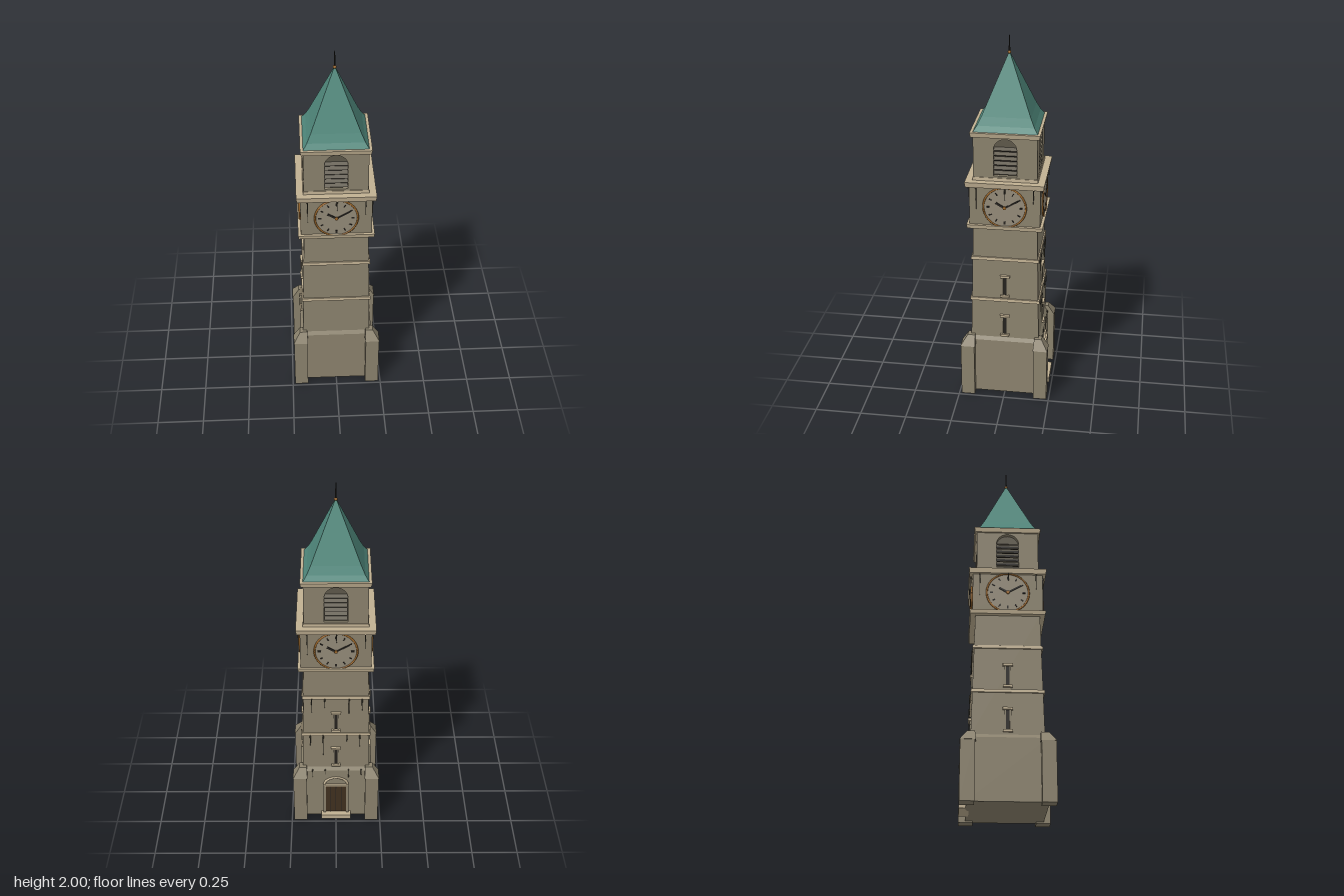
import * as THREE from 'three';

const mat = (name, color) => {
  const m = new THREE.MeshStandardMaterial({ color });
  m.name = name;
  return m;
};

export function createModel() {
  const stone = mat('stone', 0x8c836e);
  const trim = mat('pale trim', 0xc0b092);
  const copper = mat('green copper', 0x4f877b);
  const dialMat = mat('dial', 0x958c7a);
  const bronze = mat('bronze', 0xa06a2c);
  const dark = mat('dark iron', 0x26231f);
  const louvreMat = mat('louvre', 0x5f594b);
  const wood = mat('door wood', 0x40301f);
  const stain = mat('stain', 0x4a463a);

  const root = new THREE.Group();
  root.name = 'clockTower';

  const add = (parent, name, geo, material, x = 0, y = 0, z = 0) => {
    const m = new THREE.Mesh(geo, material);
    m.name = name;
    m.position.set(x, y, z);
    parent.add(m);
    return m;
  };
  const box = (parent, name, material, w, h, d, x, y, z) =>
    add(parent, name, new THREE.BoxGeometry(w, h, d), material, x, y, z);

  // Square block with half width a at height y0 and half width b at y1
  const taper = (name, material, a, b, y0, y1) => {
    const g = new THREE.BoxGeometry(2, y1 - y0, 2);
    const p = g.attributes.position;
    for (let i = 0; i < p.count; i++) {
      const s = p.getY(i) > 0 ? b : a;
      p.setXYZ(i, p.getX(i) * s, p.getY(i), p.getZ(i) * s);
    }
    g.computeVertexNormals();
    return add(root, name, g, material, 0, (y0 + y1) / 2, 0);
  };

  // Stages of the tower from the ground up
  taper('base', stone, 0.202, 0.198, 0.008, 0.335);
  taper('baseSlope', stone, 0.198, 0.184, 0.335, 0.355);
  taper('shaft', stone, 0.185, 0.169, 0.35, 1.02);
  taper('lowerBand', trim, 0.188, 0.186, 0.578, 0.595);
  taper('upperBand', trim, 0.182, 0.18, 0.823, 0.84);
  taper('clockSill', trim, 0.196, 0.2, 1.014, 1.036);
  taper('clockStage', stone, 0.185, 0.185, 1.036, 1.25);
  taper('clockCornice', trim, 0.202, 0.206, 1.25, 1.278);
  taper('belfryPlinth', trim, 0.17, 0.168, 1.278, 1.295);
  taper('belfryCore', louvreMat, 0.142, 0.142, 1.29, 1.52);
  taper('belfryCornice', trim, 0.175, 0.18, 1.515, 1.54);

  // Flared roof and finial
  const roof = [[0.165, 1.54], [0.146, 1.568], [0.126, 1.61], [0.003, 1.912]];
  for (let i = 0; i < 3; i++)
    taper('roof', copper, roof[i][0], roof[i + 1][0], roof[i][1], roof[i + 1][1]);
  add(root, 'finialRod', new THREE.CylinderGeometry(0.002, 0.005, 0.1, 8), dark, 0, 1.95, 0);
  add(root, 'finialBall', new THREE.SphereGeometry(0.009, 12, 8), bronze, 0, 1.913, 0);

  // Corner buttresses with caps that slope in toward the shaft
  for (const sx of [-1, 1]) for (const sz of [-1, 1]) {
    box(root, 'buttress', stone, 0.074, 0.31, 0.074, sx * 0.2, 0.155, sz * 0.2);
    const g = new THREE.BoxGeometry(0.08, 0.055, 0.08);
    const p = g.attributes.position;
    for (let i = 0; i < p.count; i++) if (p.getY(i) > 0)
      p.setXYZ(i, p.getX(i) * 0.5 - sx * 0.016, p.getY(i), p.getZ(i) * 0.5 - sz * 0.016);
    g.computeVertexNormals();
    add(root, 'buttressCap', g, stone, sx * 0.199, 0.3375, sz * 0.199);
  }

  const archPath = (Type, w, y0, spring) => {
    const s = new Type();
    s.moveTo(-w, y0);
    s.lineTo(w, y0);
    s.lineTo(w, spring);
    s.absarc(0, spring, w, 0, Math.PI, false);
    s.lineTo(-w, y0);
    return s;
  };

  // Wall of the belfry with a louvred arch
  const belfryWall = (side) => {
    const s = new THREE.Shape();
    s.moveTo(-0.165, 1.28);
    s.lineTo(0.165, 1.28);
    s.lineTo(0.165, 1.52);
    s.lineTo(-0.165, 1.52);
    s.holes.push(archPath(THREE.Path, 0.06, 1.305, 1.447));
    add(side, 'belfryWall', new THREE.ExtrudeGeometry(s, { depth: 0.023, bevelEnabled: false, curveSegments: 16 }),
      stone, 0, 0, 0.142);
    for (let i = 0; i < 6; i++) {
      const y = 1.32 + i * 0.026;
      const slat = box(side, 'louvreSlat', louvreMat, 0.118, 0.005, 0.022, 0, y, 0.153);
      slat.rotation.x = 0.6;
      box(side, 'louvreGap', dark, 0.118, 0.011, 0.002, 0, y - 0.012, 0.1432);
    }
  };

  // Clock face with ring, hour marks and hands
  const clock = (side) => {
    const c = new THREE.Group();
    c.name = 'clock';
    c.position.set(0, 1.14, 0.185);
    side.add(c);
    add(c, 'dial', new THREE.CylinderGeometry(0.11, 0.11, 0.006, 48), dialMat, 0, 0, 0.002).rotation.x = Math.PI / 2;
    add(c, 'dialRing', new THREE.TorusGeometry(0.111, 0.005, 8, 48), bronze, 0, 0, 0.004);
    for (let i = 0; i < 12; i++) {
      const a = i * Math.PI / 6;
      const mark = box(c, 'hourMark', dark, i % 3 ? 0.006 : 0.009, 0.016, 0.003,
        Math.sin(a) * 0.086, Math.cos(a) * 0.086, 0.006);
      mark.rotation.z = -a;
    }
    for (const [name, a, len, w] of [['hourHand', -1.04, 0.055, 0.011], ['minuteHand', 1.04, 0.085, 0.008]]) {
      const hand = box(c, name, dark, w, len, 0.003, Math.sin(a) * len * 0.45, Math.cos(a) * len * 0.45, 0.009);
      hand.rotation.z = -a;
    }
    add(c, 'handBoss', new THREE.CylinderGeometry(0.009, 0.009, 0.006, 16), bronze, 0, 0, 0.01).rotation.x = Math.PI / 2;
  };

  // Narrow slit window with lintel, sill and jambs
  const slit = (side, y) => {
    const z = 0.185 - (y - 0.35) * 0.024;
    box(side, 'slitOpening', dark, 0.018, 0.11, 0.004, 0, y, z);
    for (const s of [-1, 1]) box(side, 'slitJamb', stone, 0.008, 0.11, 0.012, s * 0.013, y, z);
    box(side, 'slitLintel', trim, 0.052, 0.013, 0.026, 0, y + 0.058, z);
    box(side, 'slitSill', trim, 0.048, 0.012, 0.03, 0, y - 0.06, z);
  };

  // Thin tapered drip running down from a ledge
  const drip = (side, x, y, z, len) =>
    add(side, 'drip', new THREE.ConeGeometry(0.004, len, 5), stain, x, y - len / 2, z).rotation.x = Math.PI;

  for (let k = 0; k < 4; k++) {
    const side = new THREE.Group();
    side.name = ['frontSide', 'rightSide', 'backSide', 'leftSide'][k];
    side.rotation.y = k * Math.PI / 2;
    root.add(side);
    belfryWall(side);
    clock(side);
    drip(side, -0.148, 1.252, 0.19, 0.14);
    drip(side, 0.15, 1.252, 0.195, 0.1);
    drip(side, 0.003, 1.252, 0.2, 0.07);
    if (k > 0) {
      slit(side, 0.672);
      slit(side, 0.432);
    }

    // Door, hood and step, with drips below the bands
    if (k === 2) {
      box(side, 'door', wood, 0.116, 0.2, 0.008, 0, 0.13, 0.202);
      for (let i = -1; i <= 1; i++) box(side, 'doorSeam', dark, 0.003, 0.195, 0.003, i * 0.029, 0.13, 0.206);
      for (const s of [-1, 1]) box(side, 'doorJamb', stone, 0.014, 0.21, 0.02, s * 0.064, 0.13, 0.202);
      box(side, 'doorLintel', trim, 0.142, 0.012, 0.02, 0, 0.235, 0.202);
      const hood = add(side, 'doorHood', new THREE.TorusGeometry(0.064, 0.008, 6, 20, Math.PI), trim, 0, 0.238, 0.201);
      hood.scale.y = 0.75;
      box(side, 'doorStep', trim, 0.164, 0.028, 0.05, 0, 0.022, 0.212);
      for (const [x, len] of [[-0.13, 0.09], [-0.06, 0.06], [0.07, 0.15], [0.14, 0.1]]) {
        drip(side, x, 0.825, 0.183, len);
        drip(side, -x, 0.582, 0.19, len);
        drip(side, x, 0.345, 0.2, len * 0.6);
      }
    }
  }
  return root;
}
